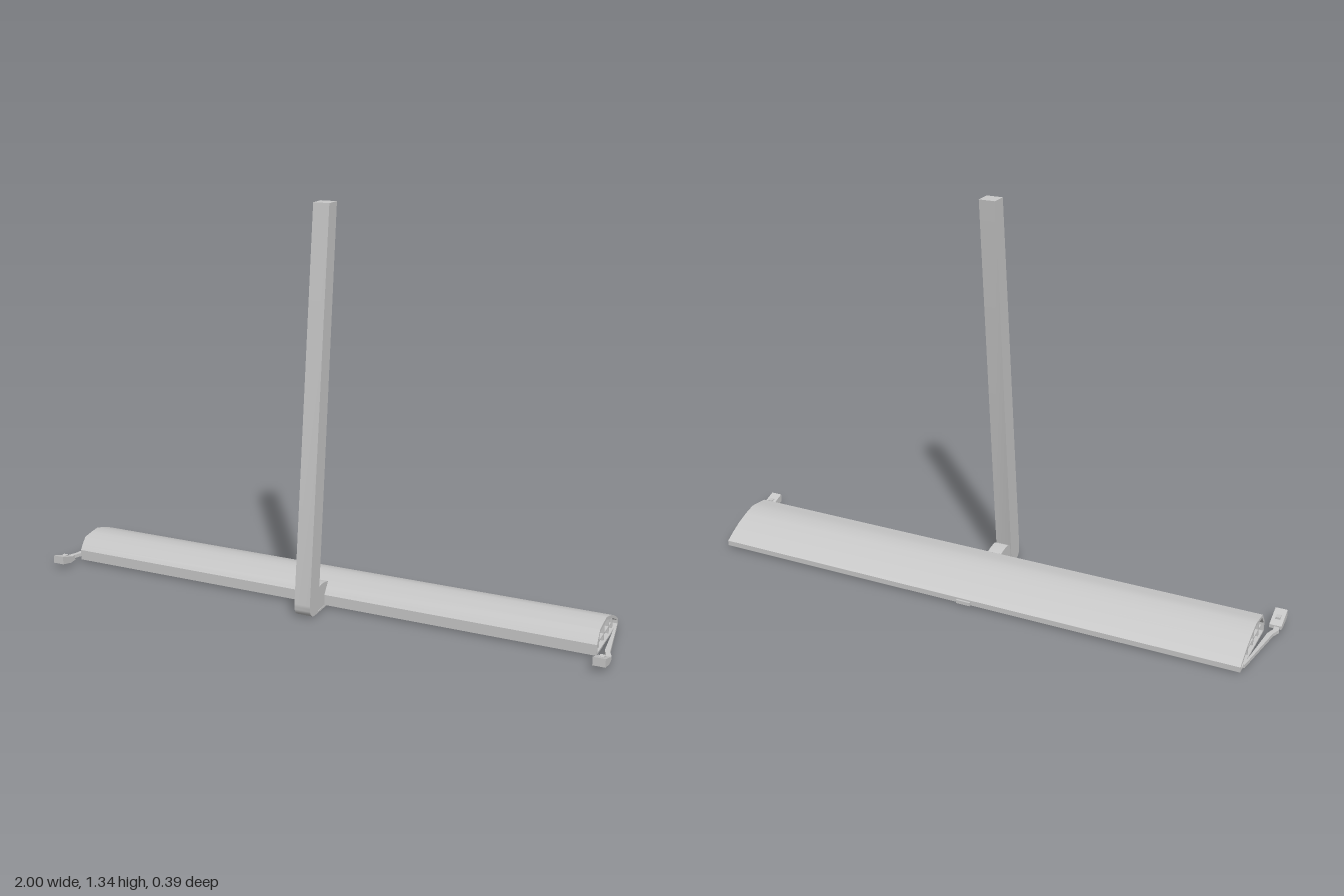
import * as THREE from 'three';
import { toCreasedNormals } from 'three/addons/utils/BufferGeometryUtils.js';

export function createModel() {
  const group = new THREE.Group();
  const grey = new THREE.MeshStandardMaterial({ color: 0xc8c8c8 });
  grey.name = 'light grey';

  const add = (name, geometry, parent = group) => {
    const mesh = new THREE.Mesh(geometry, grey);
    mesh.name = name;
    parent.add(mesh);
    return mesh;
  };
  const box = (name, w, h, d, x, y, z, parent = group) => {
    const mesh = add(name, new THREE.BoxGeometry(w, h, d), parent);
    mesh.position.set(x, y, z);
    return mesh;
  };
  const toShape = (pts) => new THREE.Shape(pts.map(([a, b]) => new THREE.Vector2(a, b)));

  // Extrudes a (z, y) side profile across x, centred on x = 0
  const across = (shape, width) => {
    const g = new THREE.ExtrudeGeometry(shape, { depth: width, bevelEnabled: false, curveSegments: 8 });
    g.translate(0, 0, -width / 2);
    g.rotateY(-Math.PI / 2);
    return toCreasedNormals(g, 0.5);
  };

  // Brush head: curved shell, hollow at its two ends
  const outer = toShape([[0.078, 0.01], [0.078, 0.046], [0.07, 0.058], [0.048, 0.086], [0.01, 0.092],
    [-0.03, 0.096], [-0.075, 0.084], [-0.12, 0.067], [-0.155, 0.049], [-0.19, 0.028], [-0.19, 0.01]]);
  const inner = [[0.068, 0.016], [0.068, 0.045], [0.043, 0.077], [-0.03, 0.086],
    [-0.115, 0.059], [-0.176, 0.027], [-0.176, 0.016]];
  outer.holes.push(new THREE.Path(inner.map(([a, b]) => new THREE.Vector2(a, b))));
  add('headShell', across(outer, 1.896));
  add('headCore', across(toShape(inner), 1.85));

  // Base pad and its centre runners
  box('basePad', 1.87, 0.003, 0.245, 0, 0.0085, -0.056);
  for (const side of [-1, 1]) box('baseRunner', 0.005, 0.006, 0.24, side * 0.024, 0.006, 0.03);
  box('rearTab', 0.05, 0.012, 0.008, 0, 0.016, -0.193);

  // Neck joining the head to the handle
  add('neck', across(toShape([[0.15, 0.004], [0.06, 0.006], [0.05, 0.085], [0.075, 0.091],
    [0.105, 0.093], [0.12, 0.086], [0.128, 0.07], [0.15, 0.04]]), 0.05));

  // Leaning handle with a rounded heel
  const handle = new THREE.Shape();
  handle.moveTo(0.046, 1.343);
  handle.lineTo(0.195, 0.05);
  handle.bezierCurveTo(0.198, 0.02, 0.182, 0.004, 0.158, 0.004);
  handle.lineTo(0.137, 0.004);
  handle.lineTo(0.129, 0.035);
  handle.lineTo(-0.01, 1.343);
  add('handle', across(handle, 0.056));

  // Plan outline (x, -z) of an end arm
  const armShape = toShape([[0.948, 0.16], [0.953, 0.16], [0.984, -0.055], [0.996, -0.085],
    [0.99, -0.105], [0.975, -0.105], [0.977, -0.08], [0.966, -0.05]]);
  const clipShape = toShape([[0.172, 0.05], [0.172, 0.022], [0.125, 0.012], [0.1, 0.014],
    [0.1, 0.026], [0.128, 0.036]]);

  // Matching end details: ribs inside the shell, swept arm and clip
  for (const side of [-1, 1]) {
    const end = new THREE.Group();
    end.name = side > 0 ? 'leftEnd' : 'rightEnd';
    group.add(end);
    for (const [z, top] of [[0.03, 0.078], [-0.03, 0.086], [-0.09, 0.066], [-0.135, 0.048]]) {
      box('endRib', 0.018, top - 0.014, 0.006, side * 0.933, (top + 0.014) / 2, z, end);
    }
    box('endCrossRib', 0.018, 0.005, 0.18, side * 0.933, 0.038, -0.03, end);

    const plan = side > 0 ? armShape
      : toShape(armShape.getPoints().map((p) => [-p.x, p.y]));
    const armGeo = new THREE.ExtrudeGeometry(plan, { depth: 0.012, bevelEnabled: false });
    armGeo.rotateX(-Math.PI / 2);
    add('endArm', armGeo, end).position.y = 0.01;

    add('endClip', across(clipShape, 0.04), end).position.x = side * 0.979;
    box('clipPin', 0.016, 0.012, 0.02, side * 0.979, 0.036, 0.135, end);
  }
  return group;
}
